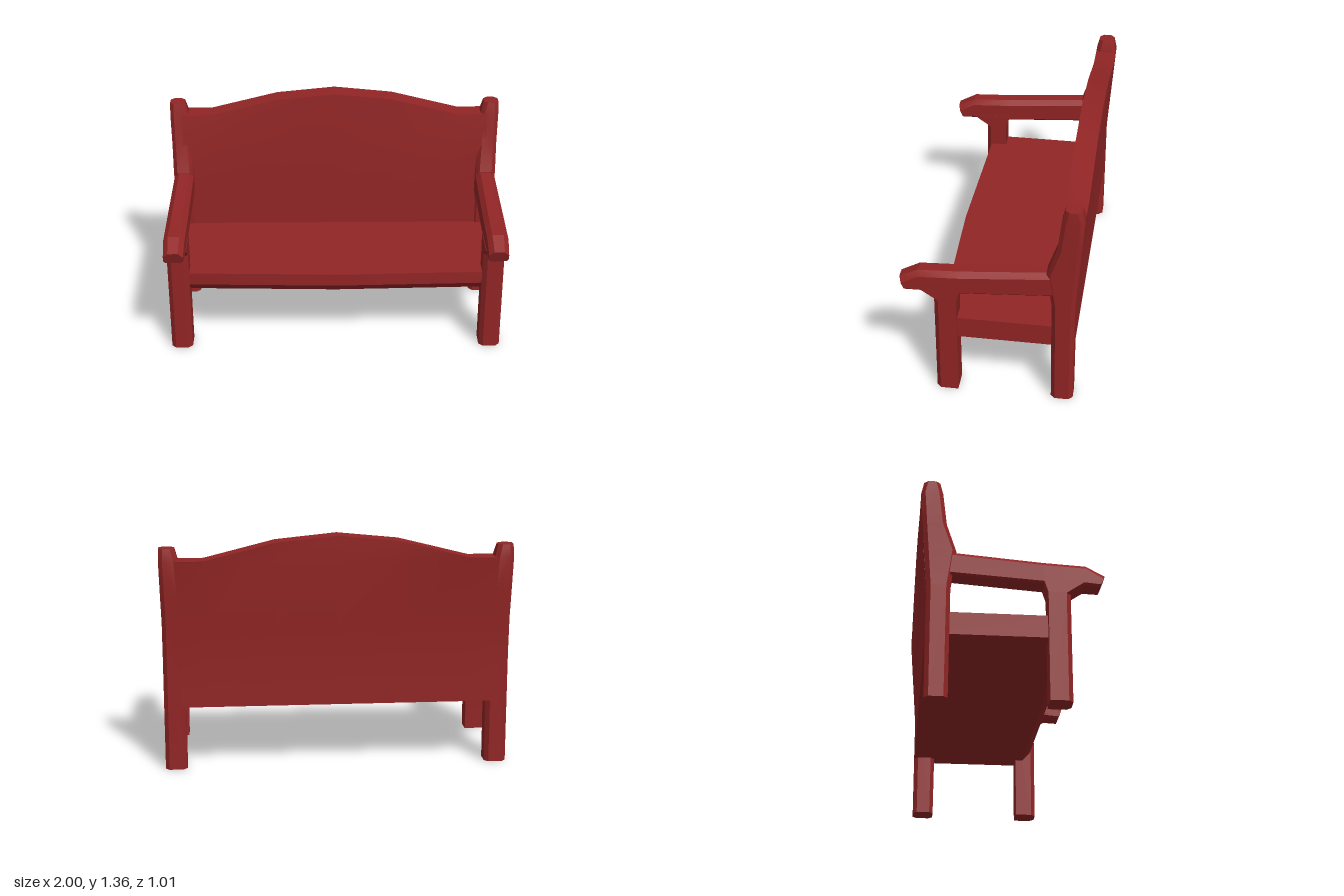
import * as THREE from 'three';
import { toCreasedNormals } from 'three/addons/utils/BufferGeometryUtils.js';

// Closed solid through a list of rings ([x, y, z] corners), capped at both ends
function loft(rings) {
  const n = rings[0].length, tris = [];
  for (let r = 0; r < rings.length - 1; r++) {
    for (let i = 0; i < n; i++) {
      const j = (i + 1) % n;
      const a = rings[r][i], b = rings[r][j], c = rings[r + 1][j], d = rings[r + 1][i];
      tris.push([a, b, c], [a, c, d]);
    }
  }
  const first = rings[0], last = rings[rings.length - 1];
  for (let i = 1; i < n - 1; i++) {
    tris.push([first[0], first[i + 1], first[i]], [last[0], last[i], last[i + 1]]);
  }
  // Turn every face outward, whichever way the rings run
  const v = (p) => new THREE.Vector3(...p);
  let volume = 0;
  for (const [a, b, c] of tris) volume += v(a).dot(v(b).cross(v(c)));
  if (volume < 0) tris.forEach((t) => t.reverse());
  const geometry = new THREE.BufferGeometry();
  geometry.setAttribute('position', new THREE.Float32BufferAttribute(tris.flat(2), 3));
  return toCreasedNormals(geometry, 0.4);
}

// Rectangle with corners cut by c on the low-b side and d on the high-b side
const chamfered = (a0, a1, b0, b1, c, d) => [
  [a0 + c, b0], [a1 - c, b0], [a1, b0 + c], [a1, b1 - d],
  [a1 - d, b1], [a0 + d, b1], [a0, b1 - d], [a0, b0 + c],
];

export function createModel() {
  const group = new THREE.Group();
  group.name = 'bench';
  const paint = new THREE.MeshStandardMaterial({ color: 0x922525 });
  paint.name = 'red paint';
  const add = (name, rings) => {
    const mesh = new THREE.Mesh(loft(rings), paint);
    mesh.name = name;
    group.add(mesh);
  };

  // Seat with a gently bowed front and bevelled lower edge
  add('seat', [[-0.965, 0.25], [-0.865, 0.285], [0, 0.31], [0.865, 0.285], [0.965, 0.25]].map(([x, z]) => [
    [x, 0.5, z], [x, 0.425, z], [x, 0.37, z - 0.05], [x, 0.37, -0.4], [x, 0.5, -0.4],
  ]));

  // Leaning backrest with an arched top
  const arch = [[-0.93, 1.22], [-0.75, 1.22], [-0.35, 1.32], [0, 1.355],
    [0.35, 1.32], [0.75, 1.22], [0.93, 1.22]];
  add('backrest', arch.map(([x, top]) => [
    [x, 0.37, -0.345], [x, 0.65, -0.345], [x, 1.03, -0.36], [x, top, -0.383],
    [x, top, -0.505], [x, 1.21, -0.503], [x, 0.85, -0.48], [x, 0.65, -0.465], [x, 0.37, -0.465],
  ]));

  for (const [side, s] of [['left', 1], ['right', -1]]) {
    // Front leg, flaring forward into the arm: y, back z, front z
    add(`${side}FrontLeg`, [[0, 0.19, 0.315], [0.63, 0.19, 0.315], [0.71, 0.165, 0.43]].map(([y, z0, z1]) =>
      chamfered(0.865, 0.99, z0, z1, 0.002, 0.025).map(([x, z]) => [s * x, y, z])));

    // Back post: y, inner x, outer x, back z, front z
    const post = [
      [0, 0.865, 0.99, -0.465, -0.34],
      [0.65, 0.865, 0.99, -0.465, -0.335],
      [0.865, 0.87, 0.99, -0.48, -0.305],
      [1.03, 0.88, 0.995, -0.492, -0.36],
      [1.22, 0.892, 1.0, -0.505, -0.383],
      [1.29, 0.91, 0.998, -0.49, -0.4],
    ];
    add(`${side}BackPost`, post.map(([y, x0, x1, z0, z1]) =>
      chamfered(x0, x1, z0, z1, 0.023, 0.023).map(([x, z]) => [s * x, y, z])));

    // Armrest from post to tip: bottom z, bottom y, top z, top y, inner x, outer x
    const arm = [
      [-0.37, 0.722, -0.37, 0.868, 0.87, 0.985],
      [0.17, 0.685, 0.17, 0.822, 0.868, 0.99],
      [0.4, 0.685, 0.4, 0.81, 0.868, 0.99],
      [0.475, 0.68, 0.505, 0.755, 0.872, 0.986],
    ];
    add(`${side}Armrest`, arm.map(([zb, yb, zt, yt, x0, x1]) =>
      chamfered(x0, x1, yb, yt, 0.012, 0.028).map(([x, y]) =>
        [s * x, y, zb + (zt - zb) * (y - yb) / (yt - yb)])));
  }
  return group;
}
